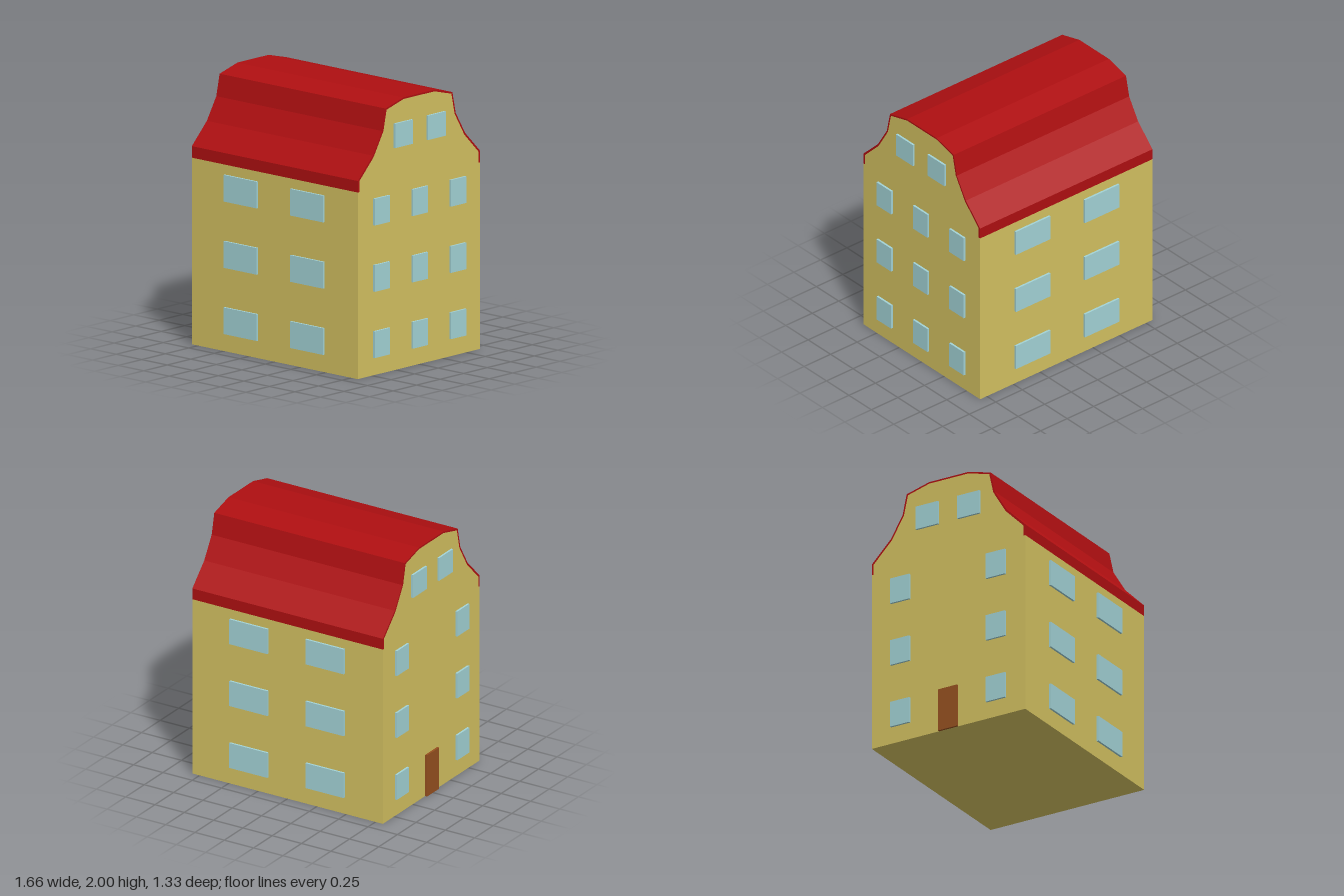
import * as THREE from 'three';

const W = 0.8125, D = 0.65, EAVE = 1.38, PROUD = 0.016;

// Bell-shaped gable outline, from the front eave to the ridge (z, y)
const OUTER = [[D, EAVE], [D, 1.465], [0.49, 1.625], [0.39, 1.79], [0.355, 1.95], [0.165, 2]];
const INNER = [[0.634, EAVE], [0.634, 1.46], [0.482, 1.613], [0.378, 1.787], [0.344, 1.94], [0.164, 1.988]];

const arch = (half) => [...half, ...half.map(([z, y]) => [-z, y]).reverse()];

// Extrude a (z, y) outline along x, centred
function extrudeAlongX(points, material, name) {
  const shape = new THREE.Shape(points.map(([z, y]) => new THREE.Vector2(-z, y)));
  const geometry = new THREE.ExtrudeGeometry(shape, { depth: 2 * W, bevelEnabled: false });
  geometry.translate(0, 0, -W);
  geometry.rotateY(Math.PI / 2);
  const mesh = new THREE.Mesh(geometry, material);
  mesh.name = name;
  return mesh;
}

export function createModel() {
  const house = new THREE.Group();
  house.name = 'house';

  const mat = (name, color) => {
    const m = new THREE.MeshStandardMaterial({ color });
    m.name = name;
    return m;
  };
  const plaster = mat('ochrePlaster', 0xd2c060);
  const tile = mat('redRoof', 0xae0f11);
  const glass = mat('paleBlueGlass', 0xa2d2d5);
  const wood = mat('brownWood', 0x96501f);

  // Walls with both gables
  house.add(extrudeAlongX([[D, 0], [D, EAVE], ...arch(INNER), [-D, EAVE], [-D, 0]], plaster, 'walls'));

  // Thin roof shell following the gable
  house.add(extrudeAlongX([...arch(OUTER), ...arch(INNER).reverse()], tile, 'roof'));

  // Panel standing proud of a wall; u runs along the wall
  const panel = (name, material, axis, side, u, y0, y1, width) => {
    const size = axis === 'x' ? [PROUD, y1 - y0, width] : [width, y1 - y0, PROUD];
    const mesh = new THREE.Mesh(new THREE.BoxGeometry(...size), material);
    const out = side * ((axis === 'x' ? W : D) + PROUD / 2);
    mesh.position.set(axis === 'x' ? out : u, (y0 + y1) / 2, axis === 'x' ? u : out);
    mesh.name = name;
    house.add(mesh);
  };

  for (const side of [1, -1]) {
    for (const y of [0.13, 0.62, 1.11]) {
      // Wide windows on the long walls
      for (const x of [-0.325, 0.325]) panel('wideWindow', glass, 'z', side, x, y, y + 0.197, 0.325);
      // Narrow windows on the gable walls; the door side has no middle column
      const columns = side > 0 ? [-0.405, 0, 0.405] : [-0.405, 0.405];
      for (const z of columns) panel('sideWindow', glass, 'x', side, z, y, y + 0.197, 0.162);
    }
    // Attic windows
    for (const z of [-0.175, 0.175]) panel('atticWindow', glass, 'x', side, z, 1.645, 1.825, 0.188);
  }

  // Door in the middle of the right gable wall
  panel('door', wood, 'x', -1, 0, 0, 0.327, 0.162);

  return house;
}
